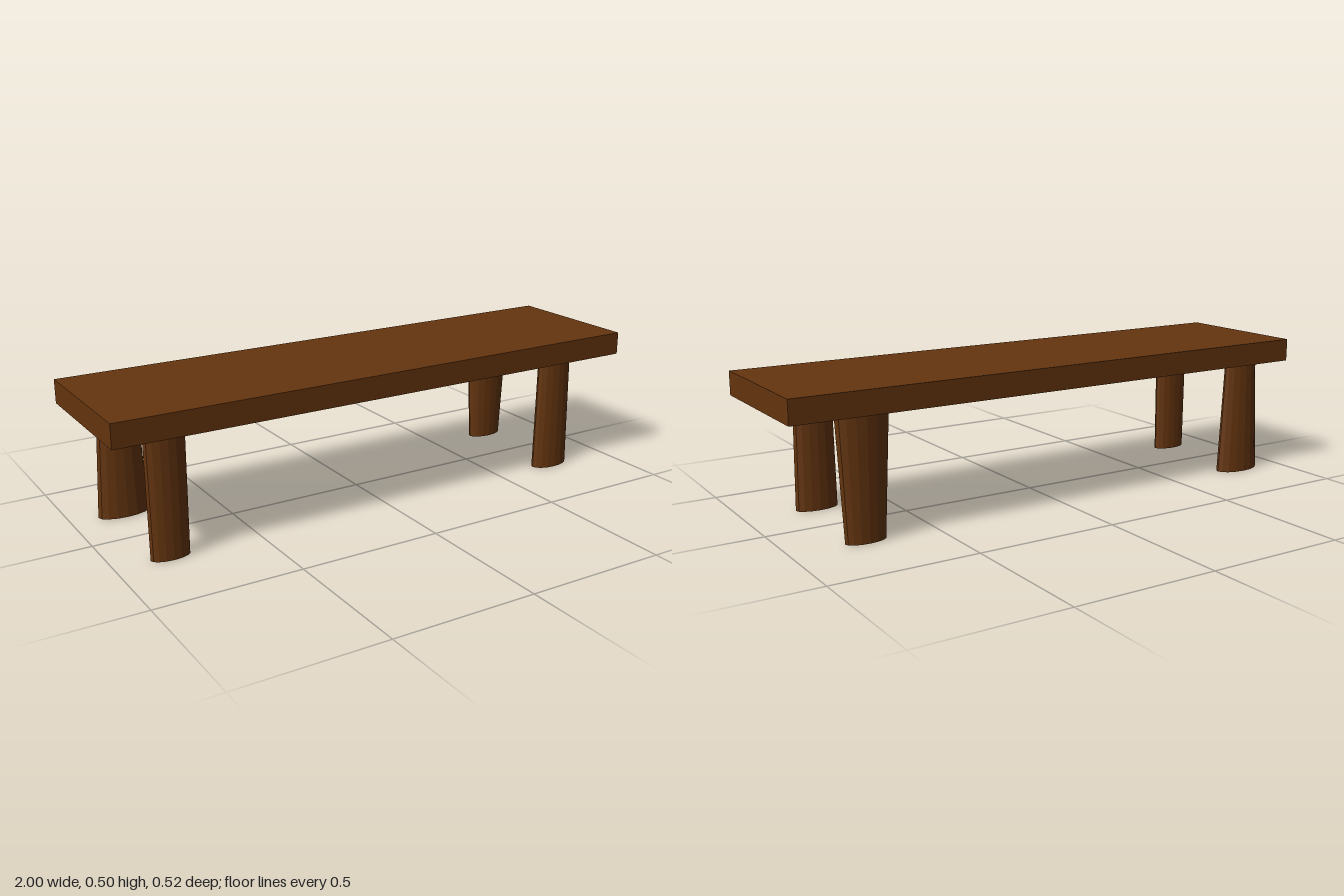
import * as THREE from 'three';

export function createModel() {
  const bench = new THREE.Group();
  bench.name = 'bench';
  const wood = new THREE.MeshStandardMaterial({ color: 0x65350f, flatShading: true });

  const legTop = 0.413, seatTop = 0.495;

  // Seat plank
  const seat = new THREE.Mesh(new THREE.BoxGeometry(2, seatTop - legTop, 0.522), wood);
  seat.name = 'seat';
  seat.position.y = (seatTop + legTop) / 2;
  bench.add(seat);

  // Rough-hewn legs: oval section, each with its own taper (half widths along x)
  const ovalRatio = 0.485;
  const legs = [
    { name: 'frontLeftLeg', x: 0.742, z: 0.2, top: 0.07, bottom: 0.076 },
    { name: 'frontRightLeg', x: -0.813, z: 0.2, top: 0.07, bottom: 0.067 },
    { name: 'backLeftLeg', x: 0.745, z: -0.206, top: 0.091, bottom: 0.07 },
    { name: 'backRightLeg', x: -0.815, z: -0.206, top: 0.07, bottom: 0.091 },
  ];
  for (const { name, x, z, top, bottom } of legs) {
    const geometry = new THREE.CylinderGeometry(top, bottom, legTop, 16);
    geometry.scale(1, 1, ovalRatio);
    const leg = new THREE.Mesh(geometry, wood);
    leg.name = name;
    leg.position.set(x, legTop / 2, z);
    bench.add(leg);
  }
  return bench;
}
